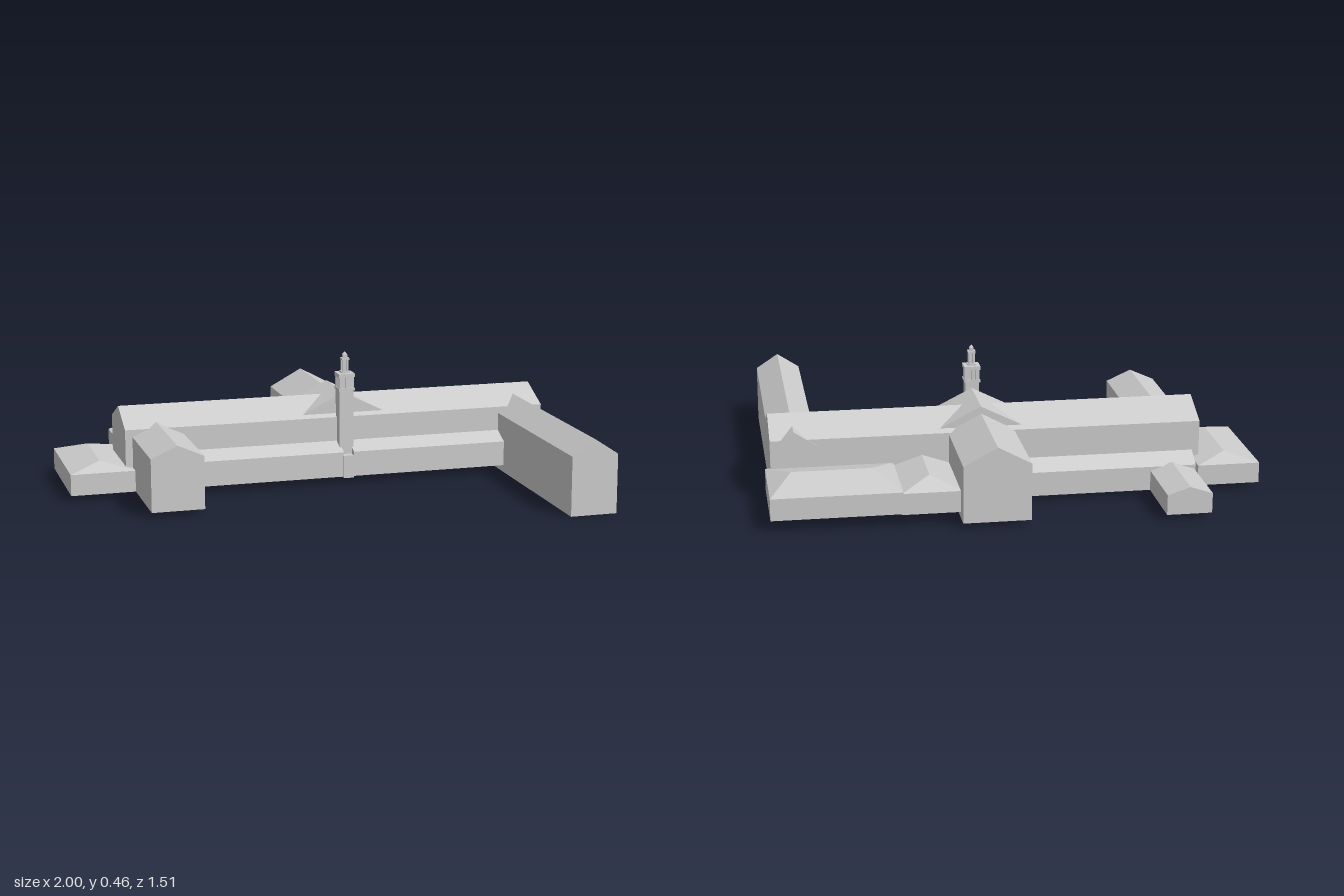
import * as THREE from 'three';

const stone = new THREE.MeshStandardMaterial({ color: 0xcccccc });
stone.name = 'stone';

// Walls plus pitched roof, ridge along local x. hip0/hip1 pull the ridge ends in,
// t places the ridge across the width (0.5 = centred, 0 = lean-to).
function houseGeometry(len, wid, y0, eave, ridge, hip0, hip1, t) {
  const x = len / 2, z = wid / 2, zr = -z + wid * t;
  const ring = (y) => [[-x, y, -z], [x, y, -z], [x, y, z], [-x, y, z]];
  const [b0, b1, b2, b3] = ring(y0);
  const [e0, e1, e2, e3] = ring(eave);
  const r0 = [-x + hip0, ridge, zr], r1 = [x - hip1, ridge, zr];
  const faces = [
    [b3, b2, e2, e3], [b2, b1, e1, e2], [b1, b0, e0, e1], [b0, b3, e3, e0],
    [b0, b1, b2, b3], [e3, e2, r1, r0], [e1, e0, r0, r1], [e2, e1, r1], [e0, e3, r0],
  ];
  const pos = [];
  for (const f of faces)
    for (let i = 1; i < f.length - 1; i++) pos.push(...f[0], ...f[i], ...f[i + 1]);
  const g = new THREE.BufferGeometry();
  g.setAttribute('position', new THREE.Float32BufferAttribute(pos, 3));
  g.computeVertexNormals();
  return g;
}

export function createModel() {
  const model = new THREE.Group();
  model.name = 'church';
  const church = new THREE.Group();
  church.name = 'turnedPlan';
  church.rotation.y = Math.PI / 6;
  model.add(church);

  const add = (name, geometry, parent = church) => {
    const m = new THREE.Mesh(geometry, stone);
    m.name = name;
    parent.add(m);
    return m;
  };

  // Building block over x0..x1, z0..z1 with its ridge along 'x' or 'z'
  function house(name, [x0, x1], [z0, z1], [y0, eave, ridge], axis, { hip0 = 0, hip1 = 0, t = 0.5 } = {}) {
    const dx = x1 - x0, dz = z1 - z0;
    const g = axis === 'x'
      ? houseGeometry(dx, dz, y0, eave, ridge, hip0, hip1, t)
      : houseGeometry(dz, dx, y0, eave, ridge, hip0, hip1, t).rotateY(-Math.PI / 2);
    add(name, g.translate((x0 + x1) / 2, 0, (z0 + z1) / 2));
  }

  // Main volumes
  house('nave', [-0.805, 0.706], [-0.173, 0.09], [0.02, 0.225, 0.283], 'x');
  house('rearTransept', [-0.145, 0.087], [-0.512, -0.05], [0.02, 0.22, 0.283], 'z');
  house('crossingRoof', [-0.18, 0.122], [-0.15, 0.068], [0.2, 0.232, 0.308], 'z');
  house('longFrontWing', [0.543, 0.704], [-0.176, 0.777], [0, 0.202, 0.255], 'z');
  house('shortFrontWing', [-0.78, -0.602], [-0.04, 0.42], [0.02, 0.2, 0.24], 'z');

  // Low side ranges
  for (const [name, span] of [['leftFrontAisle', [-0.61, -0.05]], ['rightFrontAisle', [-0.014, 0.55]]])
    house(name, span, [0.085, 0.152], [0.025, 0.112, 0.143], 'x', { t: 0 });
  house('rearAisle', [-0.765, -0.14], [-0.29, -0.17], [0.02, 0.105, 0.14], 'x');
  house('endHall', [-1, -0.78], [-0.27, 0.133], [0.02, 0.093, 0.12], 'z', { hip0: 0.07, hip1: 0.07 });
  house('rearAnnex', [-0.76, -0.604], [-0.535, -0.28], [0.02, 0.09, 0.116], 'z');
  house('sacristy', [0.28, 0.724], [-0.46, -0.158], [0.045, 0.122, 0.16], 'x', { hip0: 0.09, hip1: 0.08 });
  house('sacristyLink', [0.08, 0.285], [-0.455, -0.158], [0.04, 0.115, 0.15], 'z', { hip0: 0.08 });

  // Bell tower
  const tower = new THREE.Group();
  tower.name = 'bellTower';
  tower.position.set(-0.033, 0, 0.102);
  church.add(tower);
  const block = (name, w, y0, y1, x = 0, z = 0, d = w) =>
    add(name, new THREE.BoxGeometry(w, y1 - y0, d).translate(x, (y0 + y1) / 2, z), tower);

  block('towerShaft', 0.05, 0.02, 0.33);
  block('entrancePorch', 0.036, 0.02, 0.1, 0, 0.035);
  block('towerCornice', 0.057, 0.325, 0.335);
  block('belfryCore', 0.044, 0.33, 0.38);
  block('belfryTop', 0.058, 0.372, 0.385);
  // Belfry piers leave paired openings on every side
  for (const i of [-1, 0, 1])
    for (const j of [-1, 0, 1])
      if (i || j) block('belfryPier', i && j ? 0.014 : 0.007, 0.335, 0.373,
        i * (j ? 0.0195 : 0.023), j * (i ? 0.0195 : 0.023));
  // Open lantern with a small cap
  block('lanternBase', 0.03, 0.385, 0.391);
  for (const i of [-1, 1])
    for (const j of [-1, 1]) block('lanternPost', 0.007, 0.39, 0.432, i * 0.008, j * 0.008);
  block('lanternCore', 0.01, 0.39, 0.432);
  block('lanternTop', 0.027, 0.43, 0.438);
  block('lanternCap', 0.015, 0.438, 0.45);
  add('lanternTip', new THREE.ConeGeometry(0.01, 0.01, 4).rotateY(Math.PI / 4).translate(0, 0.455, 0), tower);

  return model;
}
